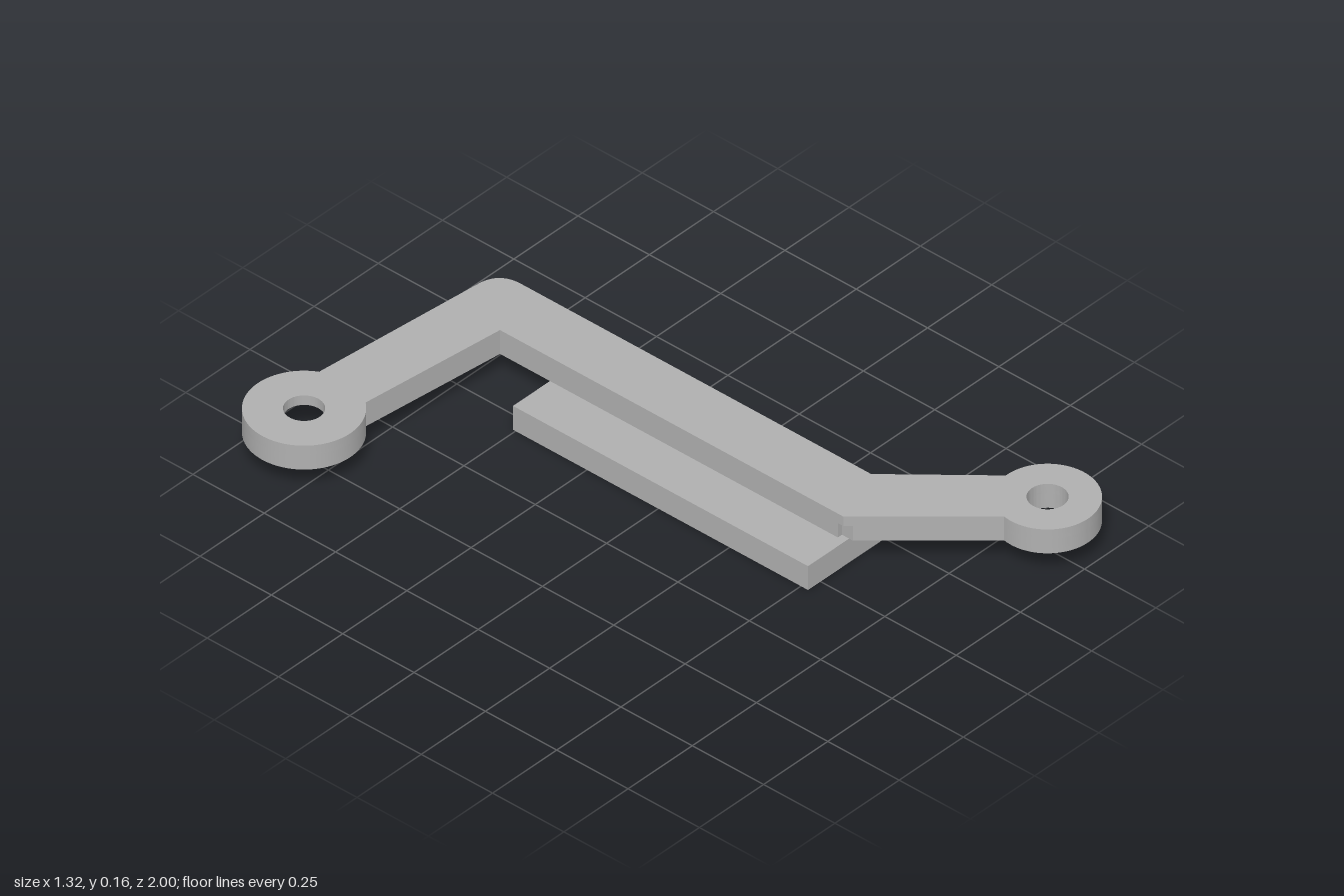
import * as THREE from 'three';
import { toCreasedNormals } from 'three/addons/utils/BufferGeometryUtils.js';

const BACK = { x: -0.497, z: -0.838, r: 0.162 };
const FRONT = { x: 0.515, z: 0.857, r: 0.142 };
const BASE = 0.078, CEILING = 0.125, TOP = 0.156;

// plan outline drawn in (x, z); the lower layer has a small notch at the front bend
function outline(notched) {
  const s = new THREE.Shape();
  s.moveTo(-0.352, -0.914);
  s.lineTo(0.205, -0.86);
  s.quadraticCurveTo(0.28, -0.853, 0.28, -0.775);
  s.lineTo(0.28, 0.45);
  s.lineTo(0.51, 0.715);
  s.absarc(FRONT.x, FRONT.z, FRONT.r, -1.606, 3.33, false);
  if (notched) {
    s.lineTo(0.111, 0.538);
    s.lineTo(0.111, 0.5);
    s.lineTo(0.095, 0.5);
  } else {
    s.lineTo(0.095, 0.52);
  }
  s.lineTo(0.095, -0.684);
  s.lineTo(-0.37, -0.735);
  s.absarc(BACK.x, BACK.z, BACK.r, 0.68, Math.PI * 2 - 0.48, false);
  return s;
}

function circle(x, z, r) {
  return new THREE.Path().absarc(x, z, r, 0, Math.PI * 2, true);
}

// groove under the back eye, back arm and bar
function channel() {
  const p = new THREE.Path();
  p.moveTo(-0.382, -0.882);
  p.lineTo(0.2, -0.826);
  p.quadraticCurveTo(0.245, -0.82, 0.245, -0.775);
  p.lineTo(0.245, 0.47);
  p.lineTo(0.13, 0.47);
  p.lineTo(0.13, -0.716);
  p.lineTo(-0.39, -0.772);
  p.absarc(BACK.x, BACK.z, 0.125, 0.55, Math.PI * 2 - 0.37, false);
  return p;
}

// horizontal slab between two heights
function slab(name, shape, holes, y0, y1, material) {
  shape.holes.push(...holes);
  const geo = new THREE.ExtrudeGeometry(shape, { depth: y1 - y0, bevelEnabled: false, curveSegments: 40 });
  geo.rotateX(Math.PI / 2);
  geo.translate(0, y1, 0);
  const mesh = new THREE.Mesh(toCreasedNormals(geo, 0.5), material);
  mesh.name = name;
  return mesh;
}

export function createModel() {
  const group = new THREE.Group();
  group.name = 'bracket';
  const grey = new THREE.MeshStandardMaterial({ color: 0xb0b0b0 });
  grey.name = 'plain grey';

  const frontHole = () => circle(FRONT.x, FRONT.z, 0.055);

  // upper skin with both bolt holes
  group.add(slab('upperPlate', outline(false),
    [circle(BACK.x, BACK.z, 0.055), frontHole()], CEILING, TOP, grey));

  // lower walls around the groove
  group.add(slab('lowerRim', outline(true), [channel(), frontHole()], BASE, CEILING, grey));

  // long foot under the bar
  const foot = new THREE.Mesh(new THREE.BoxGeometry(0.329, BASE, 1.034), grey);
  foot.name = 'foot';
  foot.position.set(0.1155, BASE / 2, 0.008);
  group.add(foot);

  return group;
}
